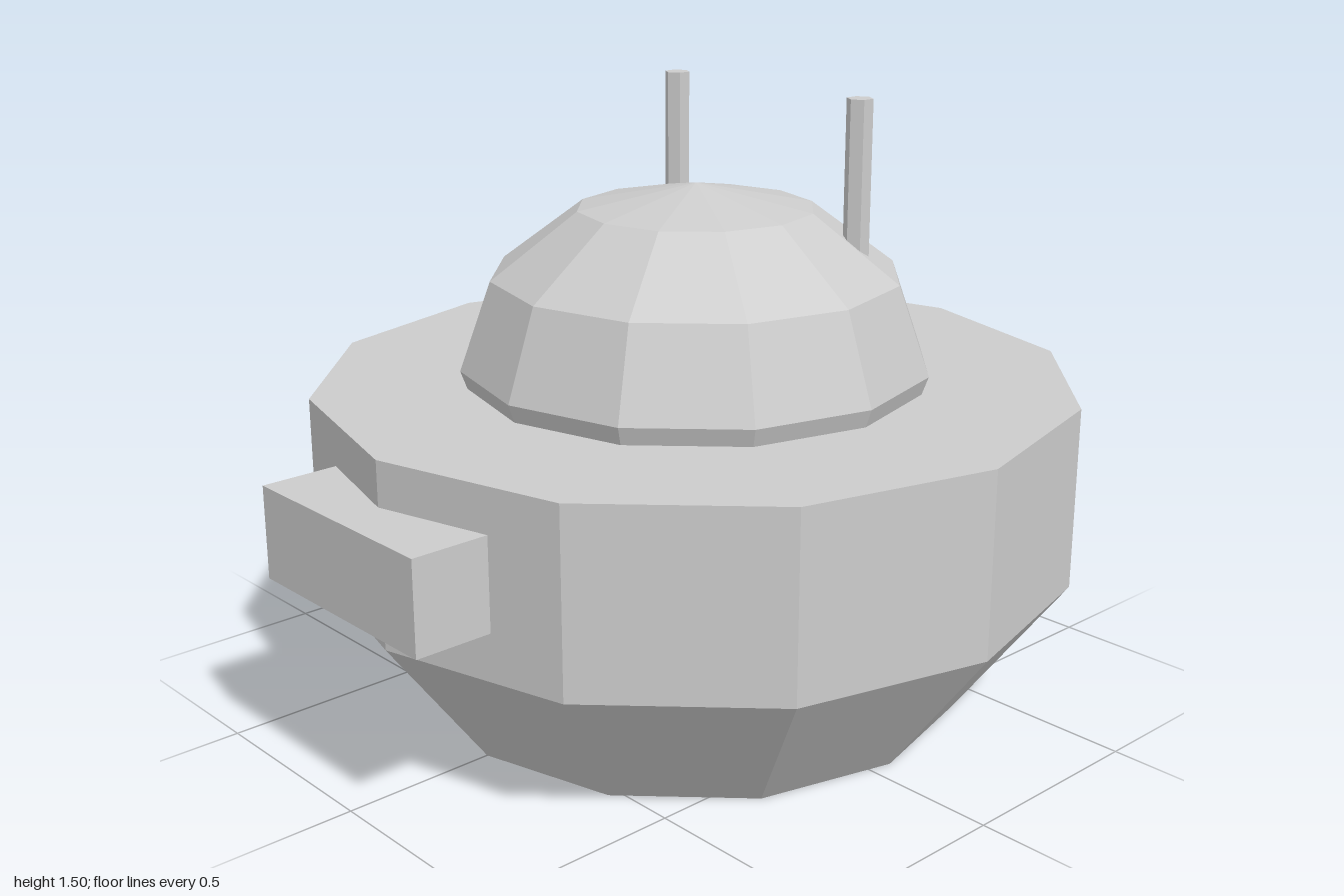
import * as THREE from 'three';

const SIDES = 12;
const CENTER_Z = -0.057;

export function createModel() {
  const grey = new THREE.MeshStandardMaterial({ color: 0xcccccc, flatShading: true });
  grey.name = 'lightGrey';
  const model = new THREE.Group();
  model.name = 'domedPod';

  const add = (name, geometry, x, y, z) => {
    const mesh = new THREE.Mesh(geometry, grey);
    mesh.name = name;
    mesh.position.set(x, y, z);
    model.add(mesh);
    return mesh;
  };

  // Hull: tapered base below a straight drum, closed at both ends
  const profile = [[0, 0], [0.675, 0], [0.943, 0.36], [0.943, 0.81], [0, 0.81]]
    .map(([r, y]) => new THREE.Vector2(r, y));
  add('hull', new THREE.LatheGeometry(profile, SIDES), 0, 0, CENTER_Z);

  // Flattened dome, its lower half sunk into the hull
  const domeGeometry = new THREE.SphereGeometry(0.582, SIDES, 6);
  domeGeometry.scale(1, 0.75, 1);
  add('dome', domeGeometry, 0, 0.855, CENTER_Z);

  // Block projecting from the front of the hull
  add('frontBlock', new THREE.BoxGeometry(0.58, 0.225, 0.4), 0, 0.588, 0.8);

  // Pair of hexagonal antennas rising from the back of the dome
  const antennaBottom = 1.06, antennaTop = 1.505;
  const height = antennaTop - antennaBottom;
  for (const side of [-1, 1]) {
    add(side > 0 ? 'leftAntenna' : 'rightAntenna',
      new THREE.CylinderGeometry(0.032, 0.032, height, 6),
      side * 0.315, antennaBottom + height / 2, -0.285);
  }

  return model;
}
